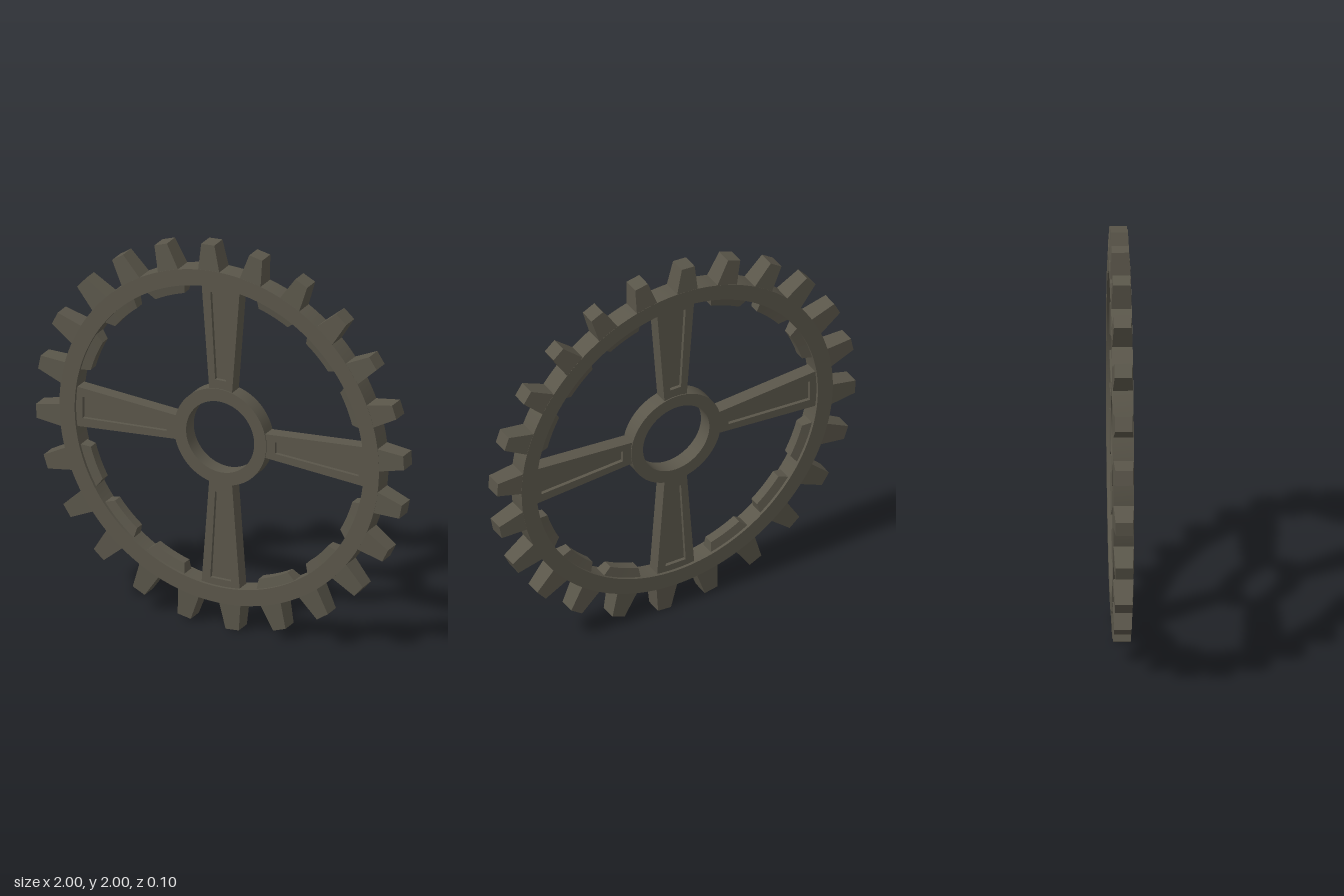
import * as THREE from 'three';
import { toCreasedNormals } from 'three/addons/utils/BufferGeometryUtils.js';

const rad = THREE.MathUtils.degToRad;

export function createModel() {
  const iron = new THREE.MeshStandardMaterial({ color: 0x5a564a });
  iron.name = 'darkIron';

  const model = new THREE.Group();
  model.name = 'gearWheel';
  const wheel = new THREE.Group();
  wheel.name = 'wheel';
  wheel.position.y = 1;
  model.add(wheel);

  // Adds a part that is modelled at twelve o'clock, turned clockwise
  function add(name, geometry, degrees = 0) {
    const mesh = new THREE.Mesh(geometry, iron);
    mesh.name = name;
    mesh.rotation.z = -rad(degrees);
    wheel.add(mesh);
  }

  // Flat slab centred on z = 0
  function slab(shape, depth, segments = 1) {
    const g = new THREE.ExtrudeGeometry(shape, { depth, bevelEnabled: false, curveSegments: segments });
    return toCreasedNormals(g.translate(0, 0, -depth / 2), 0.5);
  }

  function ring(outer, inner, depth, segments) {
    const shape = new THREE.Shape().absarc(0, 0, outer, 0, Math.PI * 2, false);
    shape.holes.push(new THREE.Path().absarc(0, 0, inner, 0, Math.PI * 2, true));
    return slab(shape, depth, segments);
  }

  // Symmetric trapezoid given by half widths at two radii
  const trapezoid = (r0, w0, r1, w1) =>
    [[-w0, r0], [w0, r0], [w1, r1], [-w1, r1]].map(([x, y]) => new THREE.Vector2(x, y));

  // Unit box whose vertices are moved by a rule
  function shapedBox(segments, rule) {
    const box = new THREE.BoxGeometry(1, 1, 1, segments, 1, 1);
    const p = box.attributes.position;
    for (let i = 0; i < p.count; i++) {
      p.setXYZ(i, ...rule(p.getX(i) * 2, p.getY(i) > 0, p.getZ(i) * 2));
    }
    const g = box.toNonIndexed();
    g.computeVertexNormals();
    return toCreasedNormals(g, 0.3);
  }

  // Rim and hub
  add('rim', ring(0.868, 0.785, 0.1, 96));
  add('hub', ring(0.25, 0.185, 0.08, 48));

  // Teeth, tapering in width and depth towards the tip
  const tooth = shapedBox(1, (x, tip, z) =>
    tip ? [x * 0.036, 1, z * 0.042] : [x * 0.06, 0.85, z * 0.05]);
  for (let i = 0; i < 24; i++) add('tooth', tooth, i * 15 - 3.8);

  // Spokes: a raised frame around a thin web
  const frameShape = new THREE.Shape(trapezoid(0.225, 0.061, 0.79, 0.104));
  frameShape.holes.push(new THREE.Path(trapezoid(0.295, 0.03, 0.75, 0.056).reverse()));
  const frame = slab(frameShape, 0.07);
  const web = slab(new THREE.Shape(trapezoid(0.28, 0.04, 0.76, 0.07)), 0.034);

  // Curved pads on the inside of the rim, with chamfered ends and sides
  const pad = shapedBox(6, (x, outer, z) => {
    const angle = rad(x * (outer ? 8.2 : 6.6));
    const r = outer ? 0.79 : 0.738;
    return [r * Math.sin(angle), r * Math.cos(angle), z * (outer ? 0.036 : 0.026)];
  });

  for (let quarter = 0; quarter < 360; quarter += 90) {
    add('spokeFrame', frame, quarter);
    add('spokeWeb', web, quarter);
    for (const a of [22.5, 45, 67.5]) add('rimPad', pad, quarter + a);
  }
  return model;
}
